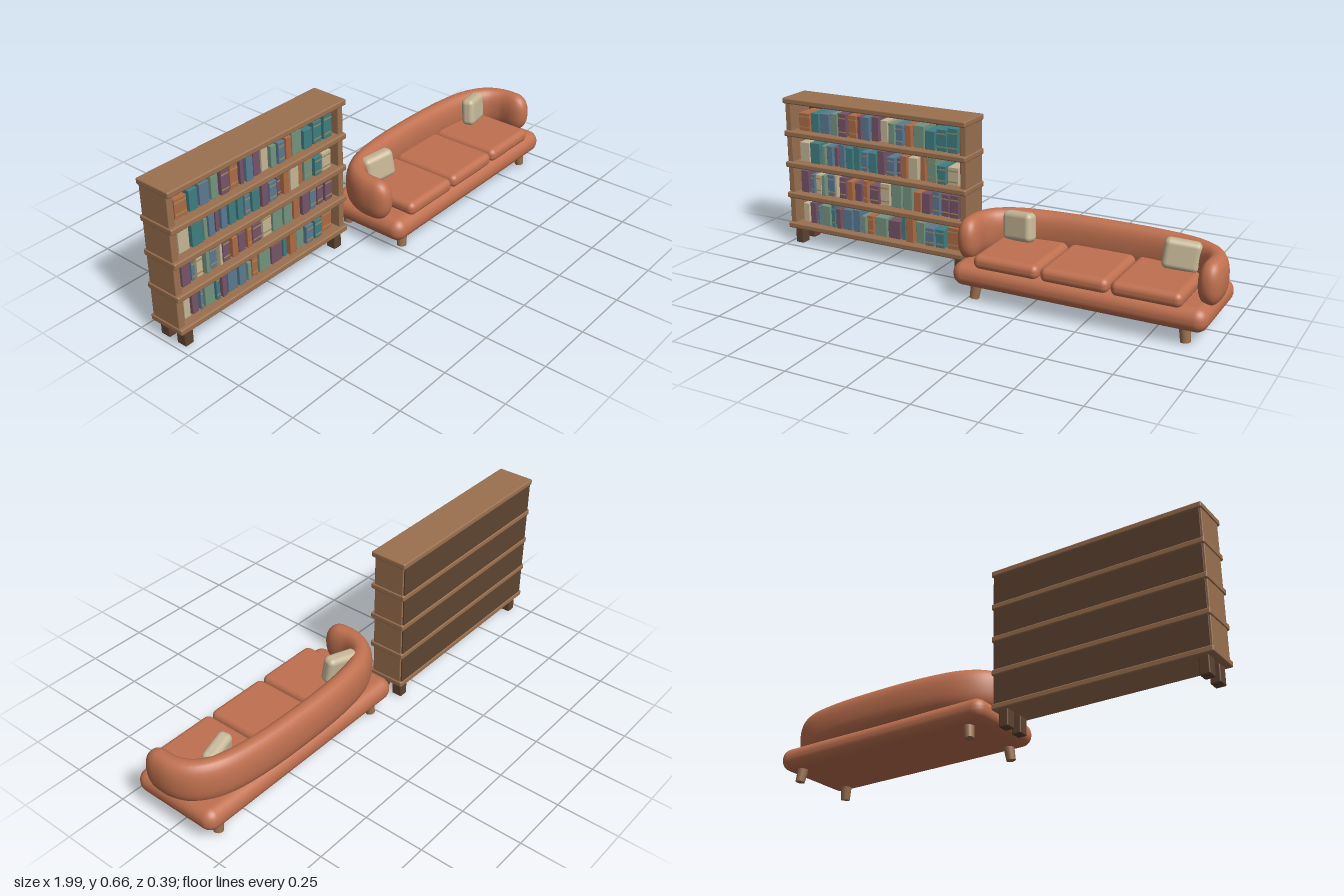
import * as THREE from 'three';
import { RoundedBoxGeometry } from 'three/addons/geometries/RoundedBoxGeometry.js';

const mat = (name, color) => Object.assign(new THREE.MeshStandardMaterial({ color }), { name });

function createMaterials() {
  return {
    wood: mat('wood', 0x9b7150),
    darkWood: mat('dark wood', 0x5f4431),
    fabric: mat('terracotta fabric', 0xc07150),
    c: mat('cream', 0xc6b797),
    t: mat('teal', 0x3f7f83),
    s: mat('sage', 0x749480),
    p: mat('plum', 0x765468),
    b: mat('blue grey', 0x5b7a92),
    r: mat('rust', 0xb06c46),
    g: mat('ochre', 0xa58a55),
  };
}

function add(parent, name, geometry, material, x = 0, y = 0, z = 0) {
  const mesh = new THREE.Mesh(geometry, material);
  mesh.name = name;
  mesh.position.set(x, y, z);
  parent.add(mesh);
  return mesh;
}

// Rounded box given by its extents
function slab(parent, name, material, [x0, x1], [y0, y1], [z0, z1], radius, segments = 3) {
  const geometry = new RoundedBoxGeometry(x1 - x0, y1 - y0, z1 - z0, segments, radius);
  return add(parent, name, geometry, material, (x0 + x1) / 2, (y0 + y1) / 2, (z0 + z1) / 2);
}

// Each entry is a colour key and a width, from left to right; top row first
const BOOK_ROWS = [
  'r10 t7 b8 s6 p7 r7 p3 b6 p6 c6 s5 b6 r5 s9 t8 t8 t8',
  'c9 t9 s3 b5 p3 b5 t6 t5 b5 t7 p6 b7 p3 r5 c8 r4 s8 t7 c9',
  'p7 b3 c5 s3 b6 c2 p6 r5 p6 r4 p8 c8 s9 s8 r6 p7 b6 p6 p7',
  'c5 p5 b2 s8 t3 p4 b8 b6 s3 r5 s10 p10 t3 r6 s7 b7 t7 r10',
];

function createBookcase(m) {
  const group = new THREE.Group();
  group.name = 'bookcase';
  const X0 = -1, X1 = -0.108;
  const levels = [0.083, 0.223, 0.362, 0.501, 0.646];
  const half = 0.0125;

  levels.forEach((y, i) => {
    slab(group, i === 4 ? 'topBoard' : 'shelfBoard', m.wood, [X0, X1], [y - half, y + half], [-0.187, -0.026], 0.006);
    if (i === 4) return;
    // Side panels between the boards
    for (const [a, b] of [[X0 + 0.004, X0 + 0.032], [X1 - 0.032, X1 - 0.004]])
      slab(group, 'sidePanel', m.wood, [a, b], [y + half - 0.004, levels[i + 1] - half + 0.004], [-0.178, -0.041], 0.003, 2);
  });
  slab(group, 'backPanel', m.darkWood, [X0 + 0.01, X1 - 0.01], [0.075, 0.65], [-0.184, -0.172], 0.002, 1);

  // Square feet
  for (const x of [X0 + 0.045, X1 - 0.043])
    for (const z of [-0.063, -0.148])
      slab(group, 'bookcaseFoot', m.darkWood, [x - 0.02, x + 0.02], [0.002, 0.075], [z - 0.023, z + 0.023], 0.005, 2);

  // Books
  let seed = 7;
  const rand = () => (seed = (seed * 16807) % 2147483647) / 2147483647;
  BOOK_ROWS.forEach((row, r) => {
    const books = row.split(' ').map((s) => [s[0], Number(s.slice(1))]);
    const total = books.reduce((sum, [, w]) => sum + w + 1.7, -1.7);
    const unit = 0.785 / total;
    const floor = levels[3 - r] + half;
    let x = -0.945;
    for (const [key, w] of books) {
      const width = w * unit, h = 0.077 + rand() * 0.028;
      const front = -0.055 - rand() * 0.012;
      slab(group, 'book', m[key], [x, x + width], [floor, floor + h], [-0.165, front], 0.0015, 1);
      // Thin bands on the spine
      if (rand() < 0.4)
        for (const f of [0.2, 0.8])
          add(group, 'spineBand', new THREE.BoxGeometry(width * 0.92, 0.005, 0.003), m.g, x + width / 2, floor + h * f, front);
      x += width + 1.7 * unit;
    }
  });
  return group;
}

// Padded band swept along a path, with rounded ends
function sweepBand(path, halfWidth, halfHeight, capDepth) {
  const rings = 96, sides = 28, length = path.getLength();
  const positions = [], index = [];
  const power = (v) => Math.sign(v) * Math.abs(v) ** 0.86;
  for (let i = 0; i <= rings; i++) {
    const u = 0.5 - 0.5 * Math.cos((Math.PI * i) / rings);
    const p = path.getPointAt(u), t = path.getTangentAt(u);
    const k = 1 - Math.min(1, (Math.min(u, 1 - u) * length) / capDepth);
    const scale = Math.max(0.001, (1 - k ** 2.3) ** (1 / 2.3));
    for (let j = 0; j < sides; j++) {
      const a = (j / sides) * Math.PI * 2;
      const w = halfWidth * scale * power(Math.cos(a));
      positions.push(p.x + t.z * w, p.y + halfHeight * scale * power(Math.sin(a)), p.z - t.x * w);
      if (i < rings) {
        const q = i * sides + j, n = i * sides + ((j + 1) % sides);
        index.push(q, n, q + sides, n, n + sides, q + sides);
      }
    }
  }
  const geometry = new THREE.BufferGeometry();
  geometry.setAttribute('position', new THREE.Float32BufferAttribute(positions, 3));
  geometry.setIndex(index);
  geometry.computeVertexNormals();
  return geometry;
}

function createSofa(m) {
  const group = new THREE.Group();
  group.name = 'sofa';
  group.position.x = 0.457;

  slab(group, 'sofaBase', m.fabric, [-0.515, 0.515], [0.058, 0.153], [-0.189, 0.198], 0.045, 5);
  for (const x of [-0.283, 0, 0.283])
    slab(group, 'seatCushion', m.fabric, [x - 0.138, x + 0.138], [0.14, 0.199], [-0.125, 0.188], 0.026, 4);

  // Wraparound back and arms
  const side = [[0.484, 0.13], [0.491, 0.06], [0.488, 0.0], [0.455, -0.065], [0.38, -0.113], [0.24, -0.141]];
  const points = [
    ...side.map(([x, z]) => new THREE.Vector3(-x, 0.22, z)),
    new THREE.Vector3(0, 0.22, -0.151),
    ...side.map(([x, z]) => new THREE.Vector3(x, 0.22, z)).reverse(),
  ];
  const path = new THREE.CatmullRomCurve3(points, false, 'centripetal');
  add(group, 'backAndArms', sweepBand(path, 0.046, 0.087, 0.07), m.fabric);

  for (const s of [-1, 1]) {
    // Loose pillows
    const pillow = add(group, 'pillow', new RoundedBoxGeometry(0.142, 0.118, 0.058, 4, 0.022), m.c, s * 0.336, 0.254, -0.057);
    pillow.rotation.set(-0.12, s * 0.25, -s * 0.08);
    // Splayed tapered legs
    for (const f of [-1, 1]) {
      const leg = add(group, 'sofaLeg', new THREE.CylinderGeometry(0.023, 0.019, 0.075, 16), m.wood, s * 0.427, 0.042, f * 0.138 + 0.005);
      leg.rotation.set(-f * 0.1, 0, s * 0.12);
    }
  }
  return group;
}

export function createModel() {
  const m = createMaterials();
  const model = new THREE.Group();
  model.name = 'livingRoomSet';
  model.add(createBookcase(m), createSofa(m));
  return model;
}
